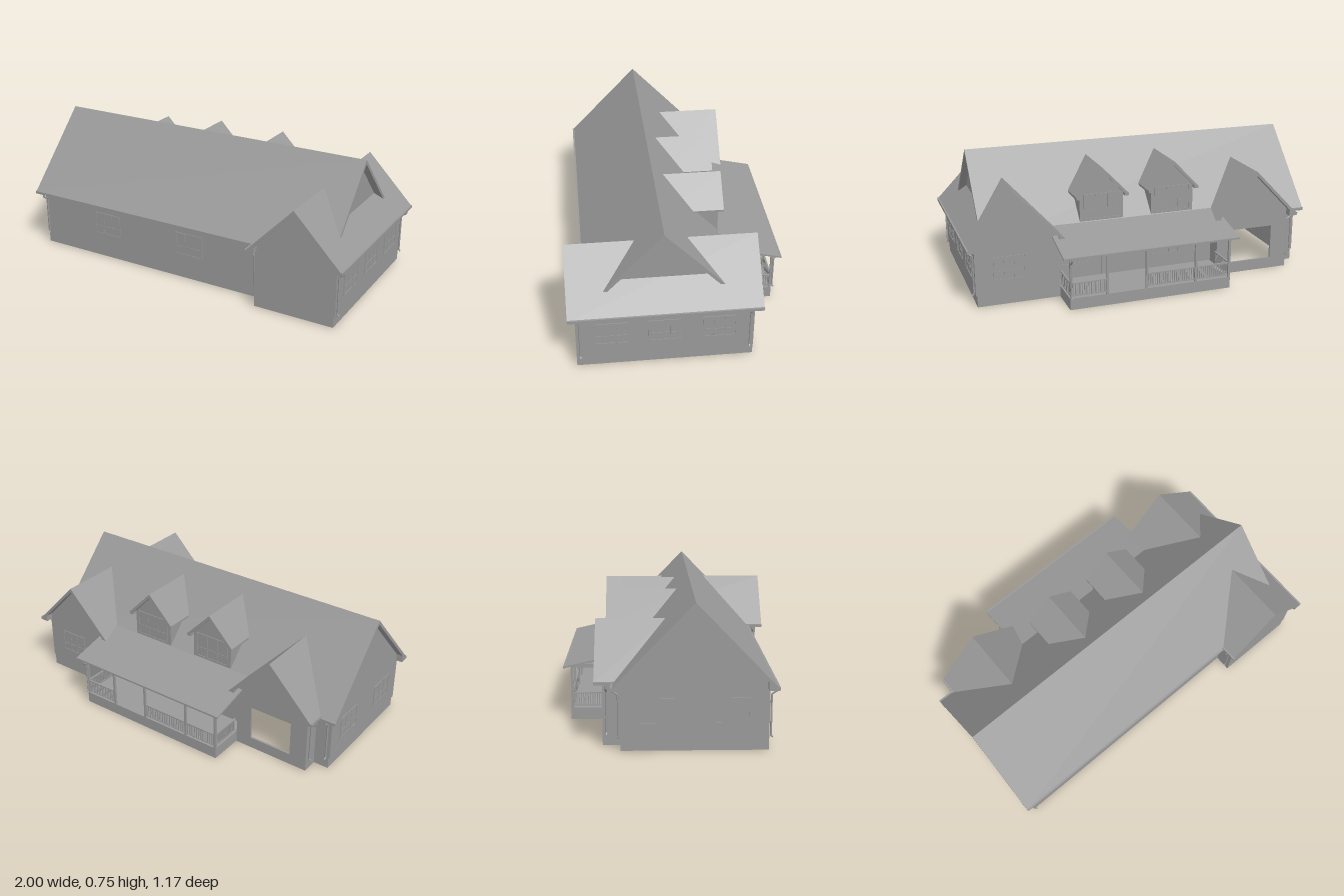
import * as THREE from 'three';

const mat = new THREE.MeshStandardMaterial({ color: 0x999999, flatShading: true, side: THREE.DoubleSide });
const SLOPE = 1.037, THICK = 0.023, WALL = 0.012;

function add(parent, name, geo) {
  const m = new THREE.Mesh(geo, mat);
  m.name = name;
  parent.add(m);
  return m;
}

// box given by its min and max corners
function block(parent, name, x0, x1, y0, y1, z0, z1) {
  const g = new THREE.BoxGeometry(x1 - x0, y1 - y0, z1 - z0);
  g.translate((x0 + x1) / 2, (y0 + y1) / 2, (z0 + z1) / 2);
  return add(parent, name, g);
}

function polygon(points) {
  return new THREE.Shape(points.map(p => new THREE.Vector2(p[0], p[1])));
}

function extrude(shape, depth) {
  return new THREE.ExtrudeGeometry(shape, { depth, bevelEnabled: false });
}

// pitched roof shell with boxed eaves; local ridge runs along +z
function gableRoof(parent, name, w, ridgeY, length, box, gutter) {
  const eave = ridgeY - w * SLOPE;
  const half = [[w, eave], [w, eave - 0.012], [w - box, eave - 0.012], [w - box, eave + box * SLOPE - THICK]];
  const mirrored = half.map(([x, y]) => [-x, y]).reverse();
  const group = new THREE.Group();
  group.name = name;
  add(group, 'roofShell', extrude(polygon([[0, ridgeY], ...half, [0, ridgeY - THICK], ...mirrored]), length));
  if (gutter) for (const s of [-1, 1]) {
    block(group, 'gutter', s * w - 0.005, s * w + 0.005, eave - 0.01, eave + 0.005, 0, length);
  }
  parent.add(group);
  return group;
}

// framed window facing local +z, centred at (u, y) on a wall face at z
function windowUnit(parent, u, y, z, w = 0.167, h = 0.125) {
  const g = new THREE.Group();
  g.name = 'window';
  g.position.set(u, y, z);
  const x = w / 2, k = h / 2, b = 0.005;
  block(g, 'glass', -x, x, -k, k, -WALL - 0.002, 0.001);
  for (const s of [-1, 1]) {
    block(g, 'frameSide', s * x - b / 2, s * x + b / 2, -k, k, -WALL - 0.003, 0.004);
    block(g, 'frameRail', -x, x, s * k - b / 2, s * k + b / 2, -WALL - 0.003, 0.004);
    block(g, 'muntin', s * w / 6 - 0.002, s * w / 6 + 0.002, -k, k, 0, 0.003);
  }
  block(g, 'meetingRail', -x, x, -0.018, -0.014, 0, 0.003);
  parent.add(g);
}

// wall from plan point a to b, outside on local +z; siding stands proud of a foundation
function wall(parent, a, b, o) {
  const dx = b[0] - a[0], dz = b[1] - a[1], L = Math.hypot(dx, dz);
  const g = new THREE.Group();
  g.name = o.ridge ? 'gableWall' : 'wall';
  g.position.set(a[0], 0, a[1]);
  g.rotation.y = Math.atan2(-dz, dx);
  const proud = o.siding ? 0.008 : 0, base = o.siding ? 0.066 : 0.003;
  const pts = [[0, base], [L, base]];
  if (o.ridge) {
    const top = o.ridge - THICK + 0.004, side = top - L / 2 * SLOPE;
    pts.push([L, side], [L / 2, top], [0, side]);
  } else pts.push([L, 0.345], [0, 0.345]);
  const shape = polygon(pts);
  if (o.hole) {
    const [u0, u1, y0, y1] = o.hole;
    shape.holes.push(new THREE.Path([[u0, y0], [u0, y1], [u1, y1], [u1, y0]].map(p => new THREE.Vector2(...p))));
  }
  const geo = extrude(shape, WALL + proud);
  geo.translate(0, 0, -WALL);
  add(g, 'wallPanel', geo);
  if (o.siding) block(g, 'foundation', 0, L, 0.003, 0.066, -WALL, 0);
  for (const u of o.windows || []) windowUnit(g, u, 0.207, proud);
  if (o.door) {
    block(g, 'door', o.door - 0.05, o.door + 0.05, 0.066, 0.275, -0.01, 0.006);
    for (const s of [-1, 1]) {
      block(g, 'doorTrim', o.door + s * 0.055 - 0.005, o.door + s * 0.055 + 0.005, 0.066, 0.285, 0, 0.01);
    }
  }
  parent.add(g);
}

// pipe from the eave to the wall and down; (dx, dz) points outward
function downspout(parent, x, z, dx, dz, top = 0.32, out = 0.036) {
  const at = (d, y) => new THREE.Vector3(x + dx * d, y, z + dz * d);
  const path = new THREE.CurvePath();
  const pts = [at(out, top), at(out, top - 0.015), at(0.005, top - 0.035), at(0.005, 0.075), at(0.014, 0.065)];
  for (let i = 1; i < pts.length; i++) path.add(new THREE.LineCurve3(pts[i - 1], pts[i]));
  add(parent, 'downspout', new THREE.TubeGeometry(path, 40, 0.005, 6));
}

// handrail, bottom rail and balusters between two plan points
function railing(parent, a, b) {
  const dx = b[0] - a[0], dz = b[1] - a[1], L = Math.hypot(dx, dz);
  const g = new THREE.Group();
  g.name = 'railing';
  g.position.set(a[0], 0, a[1]);
  g.rotation.y = Math.atan2(-dz, dx);
  block(g, 'handrail', 0, L, 0.143, 0.15, -0.005, 0.005);
  block(g, 'bottomRail', 0, L, 0.075, 0.08, -0.004, 0.004);
  const n = Math.round(L / 0.0125);
  for (let i = 1; i < n; i++) block(g, 'baluster', i * L / n - 0.0025, i * L / n + 0.0025, 0.078, 0.145, -0.0025, 0.0025);
  parent.add(g);
}

export function createModel() {
  const house = new THREE.Group();
  house.name = 'house';

  // outer walls, walked round the plan
  const plan = [
    [-0.955, 0.46, { windows: [0.445, 0.995] }],
    [0.495, 0.46, {}],
    [0.495, 0.55, { ridge: 0.61 }],
    [0.947, 0.55, { siding: true, windows: [0.18, 0.455, 0.732] }],
    [0.947, -0.36, { ridge: 0.61, windows: [0.177] }],
    [0.495, -0.36, {}],
    [0.495, -0.27, { windows: [0.1, 0.64], door: 0.32 }],
    [-0.43, -0.27, {}],
    [-0.43, -0.36, { ridge: 0.605, hole: [0.09, 0.34, 0.066, 0.263] }],
    [-0.87, -0.36, {}],
    [-0.87, -0.27, {}],
    [-0.955, -0.27, { siding: true, ridge: 0.75, windows: [0.18, 0.55] }],
  ];
  plan.forEach((p, i) => wall(house, p, plan[(i + 1) % plan.length], p[2]));

  // ceiling over the open interior
  const ceiling = new THREE.ShapeGeometry(polygon(plan.map(p => [p[0], -p[1]])));
  ceiling.rotateX(-Math.PI / 2);
  add(house, 'ceiling', ceiling).position.y = 0.305;

  // main roof and the two cross wings
  const mainRoof = gableRoof(house, 'mainRoof', 0.405, 0.748, 1.9, 0.05, true);
  mainRoof.rotation.y = Math.PI / 2;
  mainRoof.position.set(-1, 0, 0.095);
  gableRoof(house, 'wingRoof', 0.267, 0.609, 0.987, 0.045, true).position.set(0.727, 0, -0.4);
  gableRoof(house, 'backGableRoof', 0.26, 0.605, 0.37, 0.045, true).position.set(-0.65, 0, -0.4);

  // upper gable end above the wing roof
  const upper = extrude(polygon([[-0.29, 0.425], [0.29, 0.425], [0, 0.727]]), 0.02);
  upper.rotateY(Math.PI / 2);
  add(house, 'upperGableWall', upper).position.set(0.84, 0, 0.095);

  // dormers
  for (const x of [-0.19, 0.225]) {
    const d = new THREE.Group();
    d.name = 'dormer';
    d.position.set(x, 0, 0);
    gableRoof(d, 'dormerRoof', 0.15, 0.68, 0.335, 0.025, false).position.z = -0.288;
    const top = 0.66, side = top - 0.125 * SLOPE;
    const body = extrude(polygon([[-0.125, 0.36], [0.125, 0.36], [0.125, side], [0, top], [-0.125, side]]), 0.26);
    add(d, 'dormerWalls', body).position.z = -0.26;
    const face = new THREE.Group();
    face.name = 'dormerWindow';
    face.position.z = -0.26;
    face.rotation.y = Math.PI;
    windowUnit(face, 0, 0.462, 0, 0.205, 0.14);
    d.add(face);
    house.add(d);
  }

  // back porch
  const porch = new THREE.Group();
  porch.name = 'porch';
  block(porch, 'porchFloor', -0.425, 0.495, 0, 0.064, -0.55, -0.275);
  const slab = extrude(polygon([[0.25, 0.38], [0.583, 0.303], [0.583, 0.294], [0.25, 0.369]]), 0.995);
  slab.rotateY(Math.PI / 2);
  add(porch, 'porchRoof', slab).position.x = -0.46;
  block(porch, 'porchGutter', -0.46, 0.535, 0.294, 0.304, -0.587, -0.578);
  block(porch, 'porchBeam', -0.425, 0.495, 0.29, 0.303, -0.55, -0.538);
  for (const x of [-0.418, 0.488]) block(porch, 'sideBeam', x - 0.006, x + 0.006, 0.29, 0.308, -0.54, -0.36);
  const posts = [-0.418, -0.22, 0.065, 0.288, 0.488];
  posts.forEach((x, i) => {
    block(porch, 'porchPost', x - 0.006, x + 0.006, 0.064, 0.295, -0.55, -0.538);
    if (i < 4 && i !== 2) railing(porch, [x, -0.544], [posts[i + 1], -0.544]);
  });
  for (const x of [-0.418, 0.488]) railing(porch, [x, -0.544], [x, -0.36]);
  downspout(porch, 0.488, -0.55, 0, -1, 0.295, 0.03);
  house.add(porch);

  // downspouts at the corners
  const spouts = [
    [0.955, 0.53, 1, 0], [0.955, -0.34, 1, 0], [0.49, 0.53, -1, 0],
    [-0.943, 0.465, 0, 1], [-0.943, -0.275, 0, -1], [-0.875, -0.34, -1, 0],
  ];
  for (const s of spouts) downspout(house, ...s);

  return house;
}
